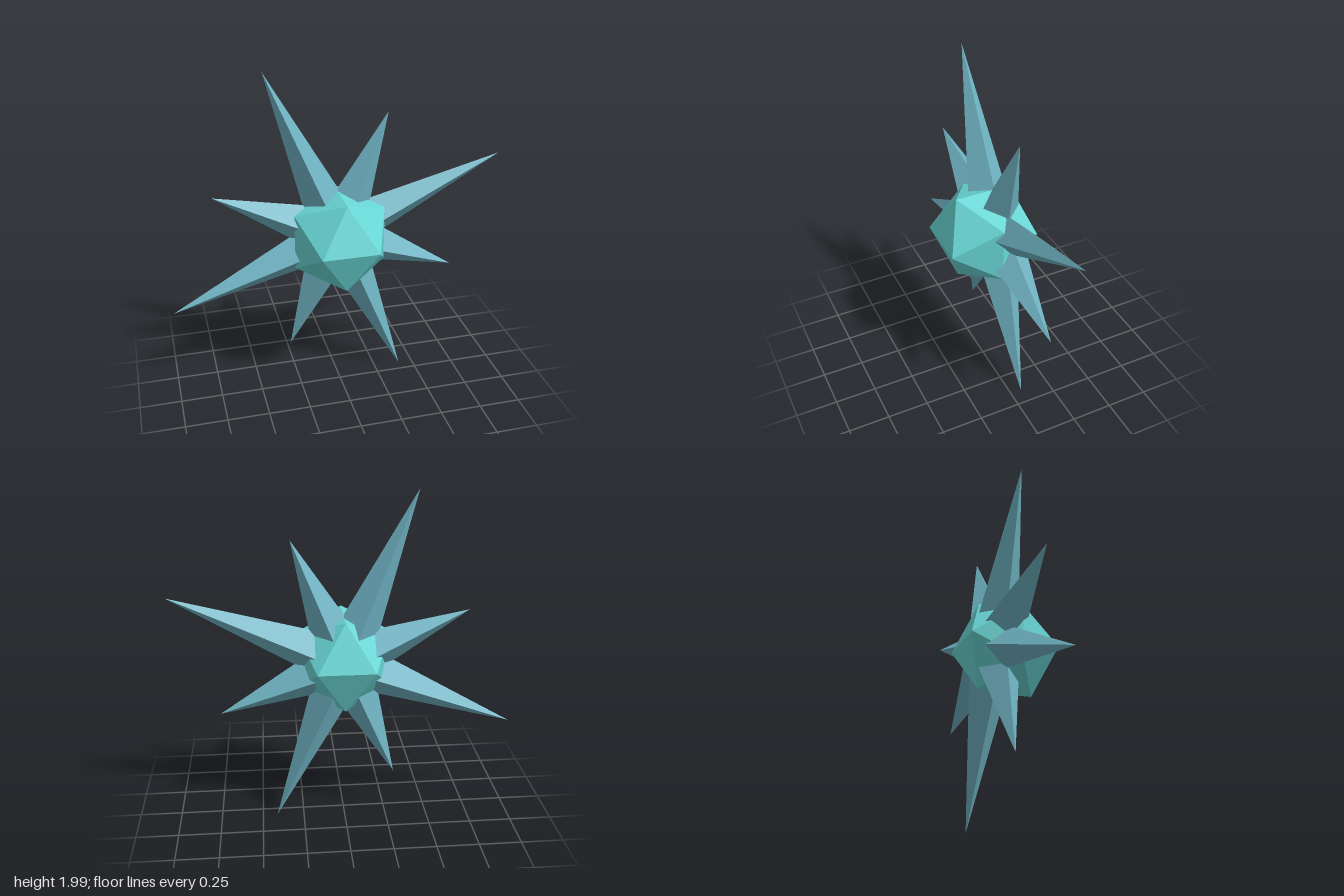
import * as THREE from 'three';

const coreTeal = new THREE.MeshStandardMaterial({ color: 0x69d8d6 });
coreTeal.name = 'core teal';
coreTeal.flatShading = true;
const spikeBlue = new THREE.MeshStandardMaterial({ color: 0x70b4c4 });
spikeBlue.name = 'spike blue';
spikeBlue.flatShading = true;

const CENTRE_Y = 1;
const SPIKE_Z = -0.067;   // the ring of spikes sits behind the core's middle
const SPIKE_BASE = 0.185; // distance of each spike's base from the centre
const SPIKE_RADIUS = 0.125;

// Four-sided spike pointing outward, with its base at SPIKE_BASE
function makeSpike(reach, angle) {
  const length = reach - SPIKE_BASE;
  const geometry = new THREE.ConeGeometry(SPIKE_RADIUS, length, 4);
  geometry.translate(0, SPIKE_BASE + length / 2, 0);
  const spike = new THREE.Mesh(geometry, spikeBlue);
  spike.rotation.z = angle - Math.PI / 2;
  return spike;
}

export function createModel() {
  const model = new THREE.Group();
  model.name = 'spikedStar';

  // Faceted core, turned so a horizontal edge faces the front
  const coreGeometry = new THREE.IcosahedronGeometry(0.317, 0);
  coreGeometry.rotateZ(Math.PI / 2);
  const core = new THREE.Mesh(coreGeometry, coreTeal);
  core.name = 'core';
  core.position.y = CENTRE_Y;
  model.add(core);

  // Eight spikes, alternating long and short
  const ring = new THREE.Group();
  ring.name = 'spikeRing';
  ring.position.set(0, CENTRE_Y, SPIKE_Z);
  for (let i = 0; i < 8; i++) {
    const isLong = i % 2 === 0;
    const spike = makeSpike(isLong ? 1.078 : 0.785, Math.PI / 8 + (i * Math.PI) / 4);
    spike.name = (isLong ? 'longSpike' : 'shortSpike') + (Math.floor(i / 2) + 1);
    ring.add(spike);
  }
  model.add(ring);

  return model;
}
